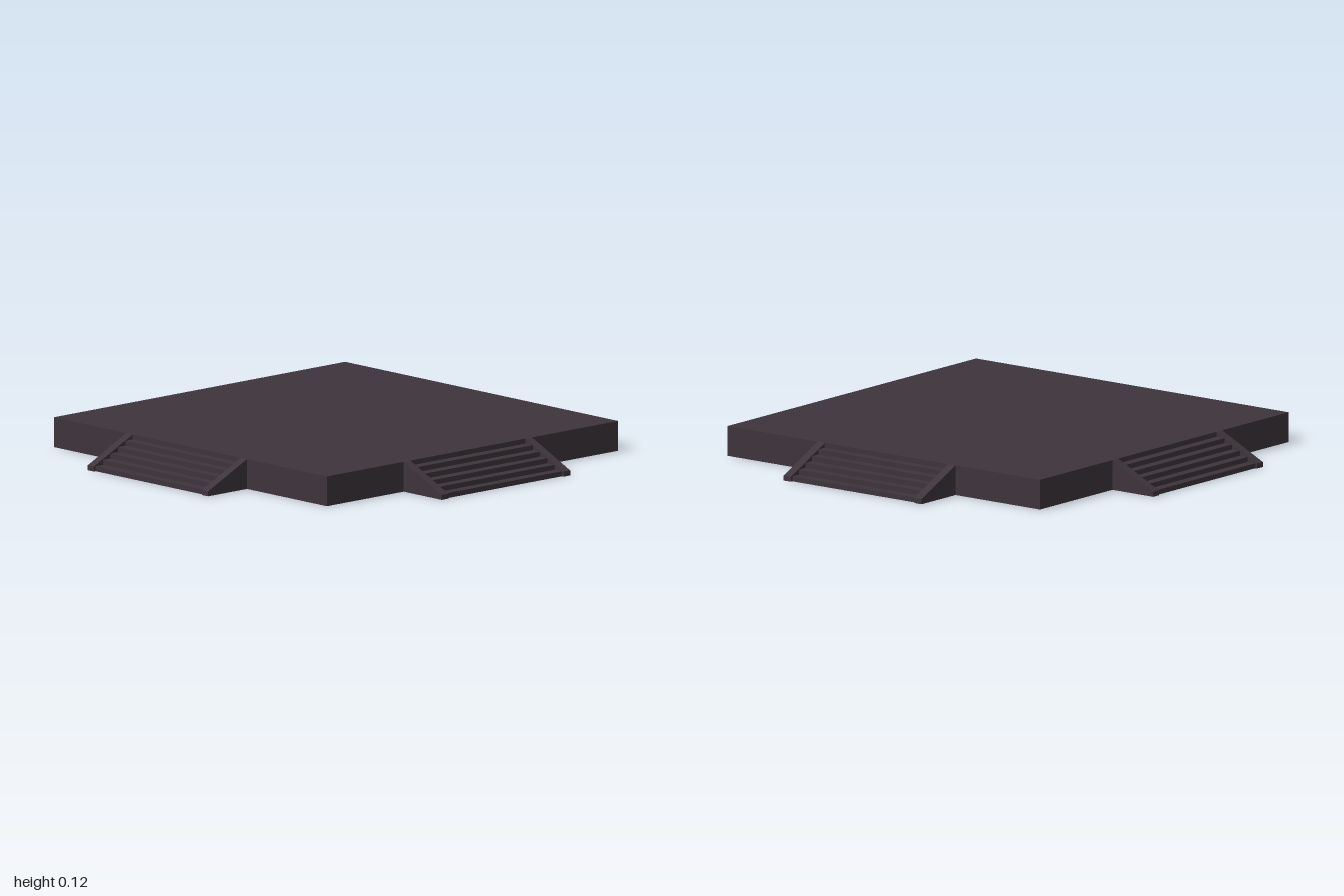
import * as THREE from 'three';

const HEIGHT = 0.12;      // platform height
const STAIR_WIDTH = 0.695;
const CHEEK = 0.036;      // thickness of the sloped side walls
const STEPS = 5;

const stone = new THREE.MeshStandardMaterial({ color: 0x3d343b, side: THREE.DoubleSide });
stone.name = 'dark stone';

function addMesh(parent, name, geometry) {
  const mesh = new THREE.Mesh(geometry, stone);
  mesh.name = name;
  parent.add(mesh);
  return mesh;
}

// Box shell without its bottom face
function platformGeometry(w, h, d) {
  const geo = new THREE.BoxGeometry(w, h, d);
  const index = Array.from(geo.index.array);
  index.splice(18, 6);
  geo.setIndex(index);
  geo.clearGroups();
  return geo;
}

// Folded sheet of treads and risers, descending towards +z
function stepsGeometry(run) {
  const tread = (run * 0.955) / STEPS;
  const rise = HEIGHT / (STEPS + 1);
  const profile = [];
  for (let i = 0; i < STEPS; i++) {
    const y = HEIGHT - rise * (i + 1);
    profile.push([i * tread, y], [(i + 1) * tread, y]);
  }
  profile.push([STEPS * tread, 0]);

  const sheet = new THREE.PlaneGeometry(STAIR_WIDTH - 2 * CHEEK, 1, 1, profile.length - 1);
  const pos = sheet.attributes.position;
  for (let i = 0; i < pos.count; i++) {
    const [z, y] = profile[Math.floor(i / 2)];
    pos.setXYZ(i, pos.getX(i), y, z);
  }
  const geo = sheet.toNonIndexed();
  geo.computeVertexNormals();
  return geo;
}

// Sloped side wall, extruded across the stair
function cheekGeometry(run) {
  const shape = new THREE.Shape([
    new THREE.Vector2(0, 0),
    new THREE.Vector2(run, 0),
    new THREE.Vector2(run, 0.02),
    new THREE.Vector2(0, HEIGHT),
  ]);
  const geo = new THREE.ExtrudeGeometry(shape, { depth: CHEEK, bevelEnabled: false });
  geo.rotateY(-Math.PI / 2);
  return geo.translate(CHEEK / 2, 0, 0);
}

function stair(name, run) {
  const group = new THREE.Group();
  group.name = name;
  addMesh(group, 'steps', stepsGeometry(run));
  for (const side of [-1, 1]) {
    const cheek = addMesh(group, side > 0 ? 'leftCheek' : 'rightCheek', cheekGeometry(run));
    cheek.position.x = side * (STAIR_WIDTH - CHEEK) / 2;
  }
  return group;
}

export function createModel() {
  const model = new THREE.Group();
  model.name = 'steppedPlatform';

  const platform = addMesh(model, 'platform', platformGeometry(1.575, HEIGHT, 1.575));
  platform.position.set(-0.0025, HEIGHT / 2, -0.0075);

  // One stair in the middle of each side: name, x, z, quarter turns, run
  const stairs = [
    ['frontStair', -0.028, 0.78, 0, 0.22],
    ['leftStair', 0.785, -0.022, 1, 0.215],
    ['backStair', -0.022, -0.795, 2, 0.205],
    ['rightStair', -0.79, -0.028, 3, 0.21],
  ];
  for (const [name, x, z, turns, run] of stairs) {
    const group = stair(name, run);
    group.position.set(x, 0, z);
    group.rotation.y = turns * Math.PI / 2;
    model.add(group);
  }
  return model;
}
